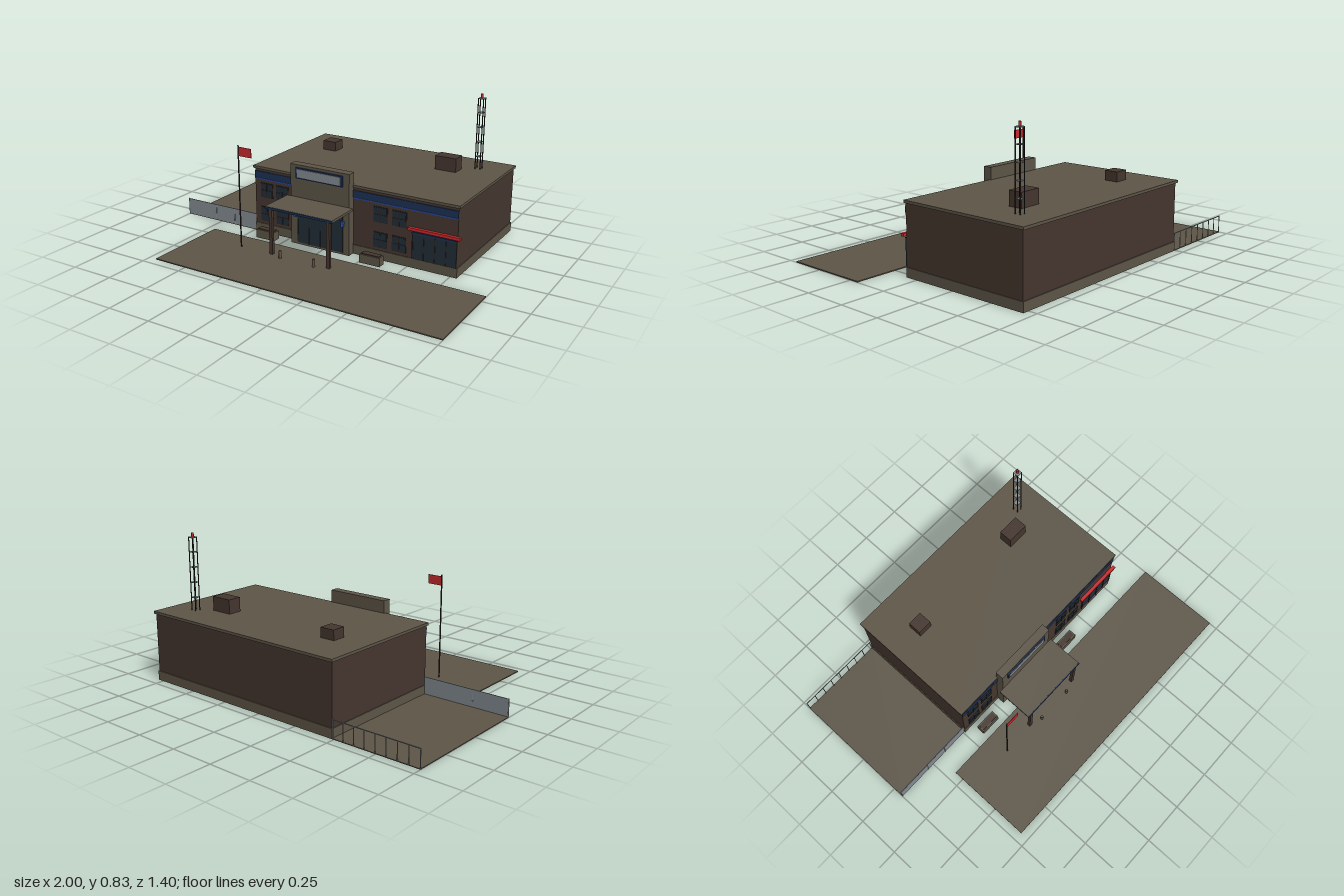
import * as THREE from 'three';

const mat = (name, color) => {
  const m = new THREE.MeshStandardMaterial({ color });
  m.name = name;
  return m;
};

export function createModel() {
  const root = new THREE.Group();
  root.name = 'station';
  const stone = mat('stone', 0x5e5648);
  const brick = mat('brick', 0x46372f);
  const glass = mat('glass', 0x232e38);
  const navy = mat('navy', 0x1e3157);
  const blue = mat('bright blue', 0x2a5cc8);
  const red = mat('red', 0xcc2a2e);
  const grey = mat('light grey', 0x858d93);
  const metal = mat('dark metal', 0x2a2726);

  // box given by its min and max corners
  const box = (name, m, x0, x1, y0, y1, z0, z1, parent = root) => {
    const mesh = new THREE.Mesh(new THREE.BoxGeometry(x1 - x0, y1 - y0, z1 - z0), m);
    mesh.position.set((x0 + x1) / 2, (y0 + y1) / 2, (z0 + z1) / 2);
    mesh.name = name;
    parent.add(mesh);
    return mesh;
  };
  const rod = (name, m, r, x, y0, y1, z, parent = root, sides = 8) => {
    const mesh = new THREE.Mesh(new THREE.CylinderGeometry(r, r, y1 - y0, sides), m);
    mesh.position.set(x, (y0 + y1) / 2, z);
    mesh.name = name;
    parent.add(mesh);
    return mesh;
  };
  const group = (name) => {
    const g = new THREE.Group();
    g.name = name;
    root.add(g);
    return g;
  };

  // ground slabs
  box('forecourt', stone, -0.7, 1, 0, 0.006, 0.195, 0.7);
  box('sideYard', stone, -1, -0.485, 0, 0.004, -0.7, 0.065);

  // main block
  box('plinth', stone, -0.491, 0.787, 0, 0.053, -0.7, 0.072);
  box('walls', brick, -0.487, 0.783, 0.053, 0.385, -0.695, 0.068);
  box('roofSlab', stone, -0.496, 0.791, 0.385, 0.4, -0.705, 0.075);

  // painted band on both wings, with a bright line under it
  for (const [a, b] of [[-0.487, -0.21], [0.167, 0.783]]) {
    box('band', navy, a, b, 0.33, 0.37, 0.068, 0.073);
    box('bandLine', blue, a, b, 0.323, 0.328, 0.068, 0.072);
  }

  // windows with a frame and a cross
  const windowAt = (x0, x1, y0, y1) => {
    const g = group('window');
    const cx = (x0 + x1) / 2, cy = (y0 + y1) / 2;
    box('frame', metal, x0 - 0.004, x1 + 0.004, y0 - 0.004, y1 + 0.004, 0.068, 0.071, g);
    box('pane', glass, x0, x1, y0, y1, 0.071, 0.073, g);
    box('mullion', metal, cx - 0.002, cx + 0.002, y0, y1, 0.073, 0.075, g);
    box('transom', metal, x0, x1, cy - 0.002, cy + 0.002, 0.073, 0.075, g);
  };
  for (const x of [-0.445, -0.338, 0.297, 0.41])
    for (const y of [0.075, 0.22]) windowAt(x, x + 0.076, y, y + 0.08);

  // glazed front on the right wing with its awning
  const shop = group('wideGlazing');
  box('pane', glass, 0.53, 0.783, 0.055, 0.205, 0.068, 0.074, shop);
  box('head', navy, 0.525, 0.784, 0.196, 0.207, 0.074, 0.077, shop);
  for (const x of [0.53, 0.593, 0.657, 0.72, 0.78])
    box('mullion', metal, x - 0.003, x + 0.003, 0.055, 0.196, 0.074, 0.077, shop);
  box('awning', red, 0.505, 0.803, 0.215, 0.231, 0.068, 0.087);

  // entrance block
  box('entranceBlock', stone, -0.21, 0.167, 0, 0.47, 0.065, 0.115);
  box('entranceGlass', glass, -0.165, 0.13, 0.012, 0.26, 0.115, 0.118);
  for (const x of [-0.163, -0.09, -0.0175, 0.055, 0.128])
    box('doorMullion', metal, x - 0.002, x + 0.002, 0.012, 0.26, 0.118, 0.12);
  box('doorTransom', navy, -0.165, 0.13, 0.195, 0.2, 0.118, 0.12);
  box('signFrame', navy, -0.172, 0.127, 0.392, 0.455, 0.115, 0.122);
  box('signPanel', grey, -0.162, 0.117, 0.4, 0.447, 0.122, 0.125);
  for (const x of [-0.176, 0.129])
    box('wallLamp', blue, x - 0.008, x + 0.008, 0.166, 0.197, 0.115, 0.13);

  // canopy
  box('canopy', stone, -0.235, 0.19, 0.267, 0.281, 0.115, 0.326);
  box('canopyFascia', navy, -0.237, 0.192, 0.268, 0.28, 0.326, 0.331);
  box('canopyLight', grey, -0.06, 0.015, 0.262, 0.267, 0.2, 0.245);
  for (const x of [-0.203, 0.162])
    box('canopyColumn', brick, x - 0.01, x + 0.01, 0, 0.267, 0.308, 0.326);

  // bollards and planters
  for (const x of [-0.13, 0.085]) rod('bollard', stone, 0.008, x, 0, 0.05, 0.345);
  for (const x of [-0.4245, 0.257]) {
    box('planter', stone, x, x + 0.123, 0, 0.05, 0.11, 0.158);
    box('planterSoil', brick, x + 0.008, x + 0.115, 0.05, 0.055, 0.117, 0.151);
  }

  // rooftop units
  box('roofUnitSmall', brick, -0.32, -0.235, 0.4, 0.455, -0.485, -0.405);
  box('roofUnitLarge', brick, 0.422, 0.55, 0.4, 0.48, -0.485, -0.405);

  // lattice mast
  const mast = group('mast');
  for (const x of [0.614, 0.644])
    for (const z of [-0.528, -0.558]) rod('leg', metal, 0.003, x, 0.4, 0.81, z, mast, 6);
  for (const y of [0.473, 0.558, 0.643, 0.727])
    box('brace', grey, 0.614, 0.644, y - 0.002, y + 0.002, -0.558, -0.528, mast);
  box('mastCap', grey, 0.612, 0.646, 0.805, 0.81, -0.56, -0.526, mast);
  rod('beacon', red, 0.007, 0.629, 0.81, 0.833, -0.543, mast);

  // flag
  rod('flagPole', metal, 0.004, -0.406, 0, 0.597, 0.325);
  box('flag', red, -0.402, -0.32, 0.537, 0.588, 0.323, 0.327);

  // yard fences: panelled at the front, open rails at the back
  box('fencePanel', grey, -1, -0.79, 0.004, 0.1, 0.062, 0.066);
  box('fenceGate', grey, -0.788, -0.49, 0.004, 0.1, 0.061, 0.065);
  for (const x of [-0.997, -0.789, -0.65]) rod('fencePost', grey, 0.003, x, 0, 0.102, 0.064, root, 6);
  for (let i = 0; i < 9; i++) rod('rearPost', grey, 0.0025, -0.997 + i * 0.063, 0, 0.1, -0.697, root, 6);
  box('rearRail', grey, -1, -0.49, 0.097, 0.101, -0.699, -0.695);

  return root;
}
